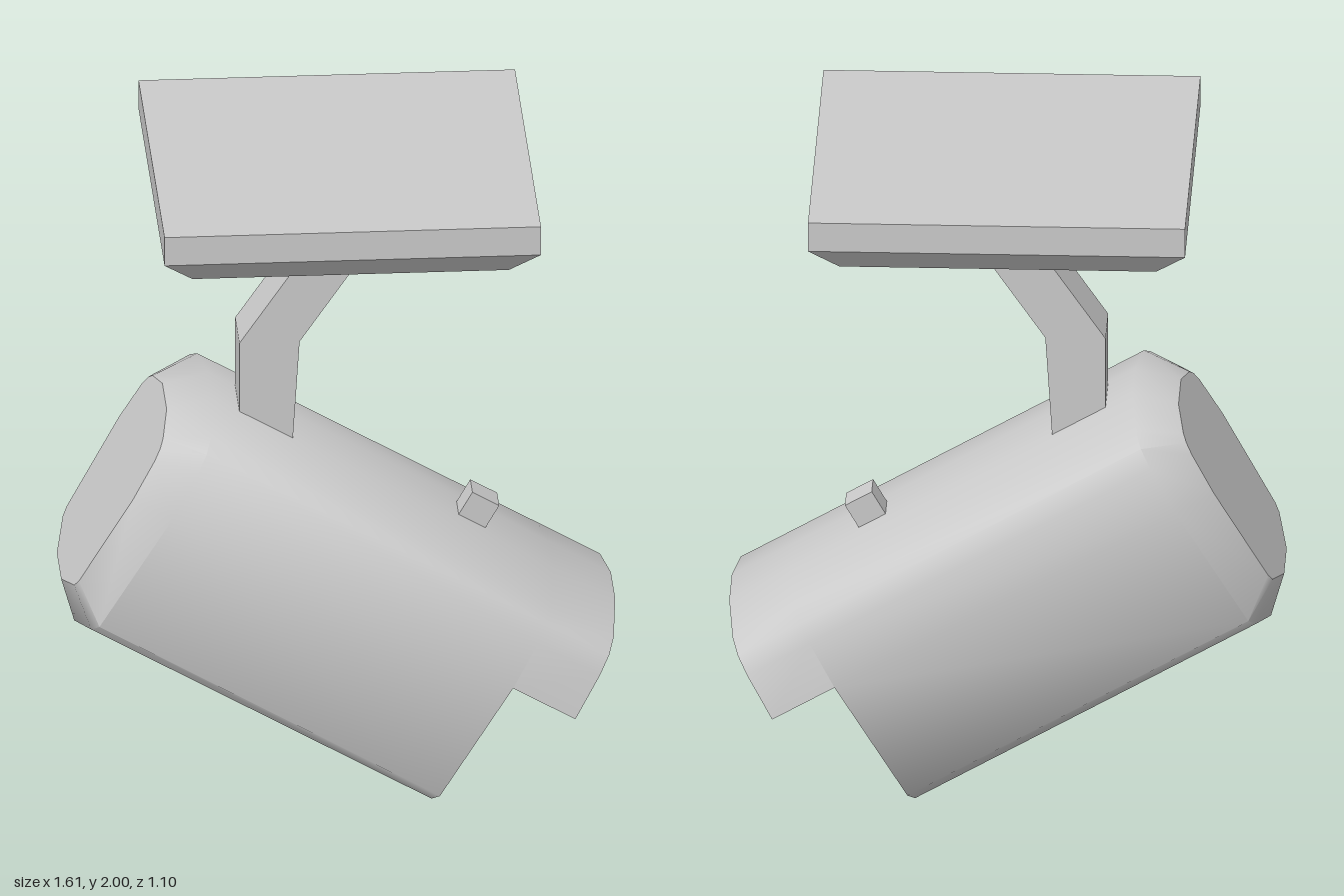
import * as THREE from 'three';
import { toCreasedNormals } from 'three/addons/utils/BufferGeometryUtils.js';

const material = new THREE.MeshStandardMaterial({ color: 0xcccccc });

function add(parent, name, geometry, x = 0, y = 0, z = 0) {
  const mesh = new THREE.Mesh(geometry, material);
  mesh.name = name;
  mesh.position.set(x, y, z);
  parent.add(mesh);
  return mesh;
}

const box = (w, h, d) => new THREE.BoxGeometry(w, h, d);

// Half outline [z, y] from bottom to top, closed by its mirror image
const mirrored = half => [...half, ...half.map(([z, y]) => [-z, y]).reverse()];
const toShape = pts => new THREE.Shape(pts.map(([a, b]) => new THREE.Vector2(a, b)));

// Skin between cross-sections, each { x, pts }, ordered by growing x
function loft(sections) {
  const n = sections[0].pts.length;
  const positions = sections.flatMap(({ x, pts }) => pts.flatMap(([z, y]) => [x, y, z]));
  const index = [];
  for (let s = 0; s < sections.length - 1; s++) {
    for (let i = 0; i < n; i++) {
      const a = s * n + i, b = s * n + (i + 1) % n;
      index.push(a, a + n, b, b, a + n, b + n);
    }
  }
  const geometry = new THREE.BufferGeometry();
  geometry.setAttribute('position', new THREE.Float32BufferAttribute(positions, 3));
  geometry.setIndex(index);
  return toCreasedNormals(geometry, 1.0);
}

export function createModel() {
  const model = new THREE.Group();
  model.name = 'securityCamera';

  // Ceiling plate with a chamfered underside
  const cx = 0.008;
  add(model, 'ceilingPlate', box(1.095, 0.09, 1.095), cx, 1.955, 0);
  const chamfer = new THREE.CylinderGeometry(0.5475 * Math.SQRT2, 0.46 * Math.SQRT2, 0.085, 4, 1);
  chamfer.rotateY(Math.PI / 4);
  add(model, 'plateChamfer', toCreasedNormals(chamfer, 0.3), cx, 1.8675, 0);
  add(model, 'armMount', box(0.42, 0.075, 0.42), cx, 1.7875, 0);

  // Bent arm
  const armShape = toShape([[-0.08, 1.75], [-0.29, 1.445], [-0.29, 1.1], [-0.137, 1.1], [-0.115, 1.445], [0.095, 1.75]]);
  const arm = new THREE.ExtrudeGeometry(armShape, { depth: 0.18, bevelEnabled: false });
  add(model, 'arm', arm, 0, 0, -0.09);

  // Camera head, tilted down; its own x axis runs towards the lens
  const head = new THREE.Group();
  head.name = 'cameraHead';
  head.rotation.z = -Math.PI / 6;
  model.add(head);

  const upper = [[0.405, 0.643], [0.38, 0.79], [0.35, 0.848], [0.29, 0.882], [0.09, 0.918]];
  const body = mirrored([[0.09, 0.113], [0.29, 0.184], [0.35, 0.224], ...upper]);
  const rear = mirrored([[0.09, 0.21], [0.24, 0.265], [0.26, 0.29], [0.29, 0.6],
    [0.27, 0.73], [0.25, 0.765], [0.22, 0.785], [0.09, 0.824]]);
  const back = -1.055, front = 0.188, hoodEnd = 0.397;

  // Housing shell and its two end faces
  add(head, 'housing', loft([
    { x: back, pts: rear }, { x: -0.955, pts: body }, { x: front, pts: body },
  ]));
  add(head, 'backFace', new THREE.ShapeGeometry(toShape(rear)).rotateY(-Math.PI / 2), back);
  add(head, 'frontFace', new THREE.ShapeGeometry(toShape(body)).rotateY(Math.PI / 2), front);

  // Sun hood continuing the top of the housing
  const inner = [[0.34, 0.643], [0.315, 0.793], [0.09, 0.834]];
  const hoodShape = toShape([...mirrored(upper), ...mirrored(inner).reverse()]);
  const hood = new THREE.ExtrudeGeometry(hoodShape, { depth: hoodEnd - front, bevelEnabled: false });
  hood.rotateY(Math.PI / 2);
  add(head, 'hood', toCreasedNormals(hood, 1.0), front);

  // Ten-sided lens ring, slightly taller than wide
  const ringProfile = [[0.22, -0.02], [0.22, 0.012], [0.205, 0.026], [0.19, 0.026], [0.17, 0.005]]
    .map(([r, h]) => new THREE.Vector2(r, h));
  const ring = toCreasedNormals(new THREE.LatheGeometry(ringProfile, 10), 0.2);
  ring.rotateY(Math.PI / 2).rotateZ(-Math.PI / 2);
  // turn the ring so that one corner points up
  ring.rotateX(Math.PI / 10 * (ringCornerUp(ring) ? 0 : 1));
  ring.scale(1, 1, 0.89);
  add(head, 'lensRing', ring, front, 0.48, 0);

  // Domed lens
  const dome = new THREE.SphereGeometry(1, 24, 10, 0, Math.PI * 2, 0, Math.PI / 2);
  dome.rotateZ(-Math.PI / 2).scale(0.085, 0.17, 0.155);
  add(head, 'lens', dome, front + 0.004, 0.48, 0);

  // Small knob on top
  add(head, 'knob', box(0.09, 0.12, 0.09), -0.08, 0.938, 0);

  return model;
}

// True when the ring reaches its full radius straight up
function ringCornerUp(geometry) {
  geometry.computeBoundingBox();
  return geometry.boundingBox.max.y > 0.2195;
}
